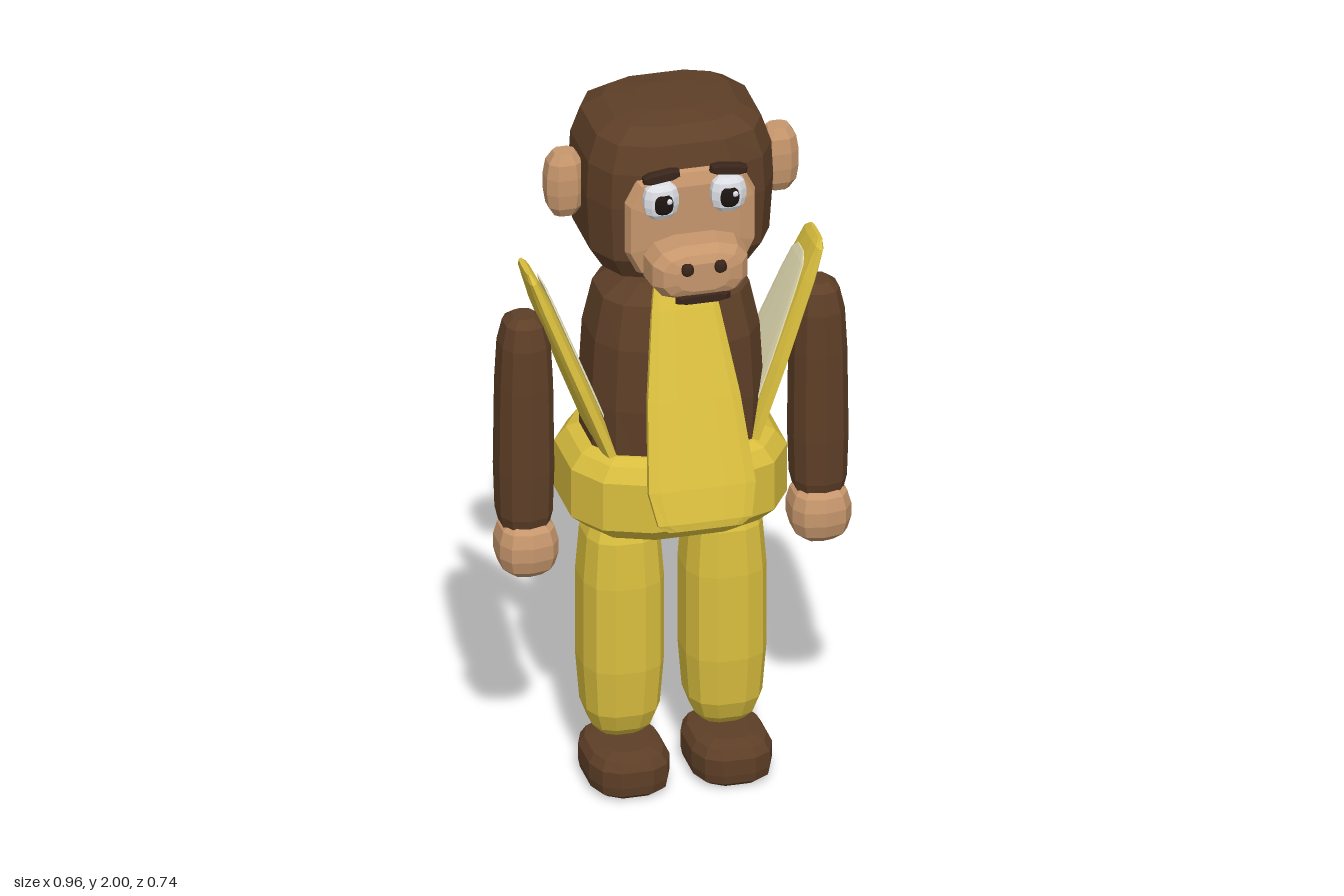
import * as THREE from 'three';

const mat = (name, color) => {
  const m = new THREE.MeshStandardMaterial({ color });
  m.name = name;
  return m;
};

// Faceted body from squarish rings [y, halfWidth, halfDepth], bottom to top
function loft(rings, power = 3, sides = 12) {
  const pos = [], idx = [];
  const soft = (v) => Math.sign(v) * Math.pow(Math.abs(v), 2 / power);
  for (const [y, w, d] of rings) {
    for (let j = 0; j < sides; j++) {
      const a = ((j + 0.5) / sides) * Math.PI * 2;
      const k = soft(Math.cos(Math.PI / sides));
      pos.push((soft(Math.cos(a)) * w) / k, y, (soft(Math.sin(a)) * d) / k);
    }
  }
  const last = (rings.length - 1) * sides;
  const bottom = pos.length / 3;
  pos.push(0, rings[0][0], 0, 0, rings[rings.length - 1][0], 0);
  for (let j = 0; j < sides; j++) {
    const n = (j + 1) % sides;
    for (let i = 0; i < last; i += sides) {
      idx.push(i + j, i + sides + j, i + sides + n, i + j, i + sides + n, i + n);
    }
    idx.push(bottom, j, n, bottom + 1, last + n, last + j);
  }
  const g = new THREE.BufferGeometry();
  g.setAttribute('position', new THREE.Float32BufferAttribute(pos, 3));
  g.setIndex(idx);
  const flat = g.toNonIndexed();
  flat.computeVertexNormals();
  return flat;
}

// Same, with the rings stacked from back to front: [z, halfWidth, halfHeight]
const loftForward = (rings, power, sides) => loft(rings, power, sides).rotateX(Math.PI / 2);

// Rounded pebble with the given half sizes
const pebble = (w, h, d, power = 2.6, sides = 8) =>
  loft([[-h, w * 0.55, d * 0.55], [-h * 0.7, w * 0.88, d * 0.88], [-h * 0.25, w, d],
    [h * 0.25, w, d], [h * 0.7, w * 0.88, d * 0.88], [h, w * 0.55, d * 0.55]], power, sides);

export function createModel() {
  const root = new THREE.Group();
  const brown = mat('brown fur', 0x5e3f27);
  const yellow = mat('banana yellow', 0xd9be3e);
  const skin = mat('tan skin', 0xc6966c);
  const cream = mat('peel cream', 0xe6dfb4);
  const dark = mat('dark brown', 0x38241a);
  const white = mat('eye white', 0xe4e6ec);
  const black = mat('pupil black', 0x1c1411);

  const add = (name, geometry, material, x = 0, y = 0, z = 0, parent = root) => {
    const m = new THREE.Mesh(geometry, material);
    m.name = name;
    m.position.set(x, y, z);
    parent.add(m);
    return m;
  };

  // Head and torso
  add('head', loft([[1.535, 0.12, 0.1], [1.555, 0.205, 0.175], [1.62, 0.245, 0.21], [1.78, 0.255, 0.22],
    [1.88, 0.25, 0.215], [1.955, 0.225, 0.195], [1.99, 0.17, 0.15], [2.0, 0.09, 0.08]], 3.2), brown);
  add('torso', loft([[0.9, 0.23, 0.17], [1.15, 0.235, 0.18], [1.33, 0.225, 0.175],
    [1.45, 0.2, 0.145], [1.5, 0.13, 0.11]], 2.8), brown);
  add('peelBelt', loft([[0.765, 0.16, 0.13], [0.785, 0.25, 0.2], [0.825, 0.295, 0.235],
    [0.965, 0.295, 0.235], [1.005, 0.265, 0.215], [1.02, 0.235, 0.185]], 2.7), yellow);

  // Face
  add('face', loftForward([[0.14, 0.165, 0.155], [0.2, 0.178, 0.166], [0.225, 0.168, 0.155],
    [0.238, 0.125, 0.12]], 3.2), skin, 0, 1.73, 0);
  add('muzzle', loftForward([[0.2, 0.125, 0.07], [0.24, 0.137, 0.08], [0.305, 0.13, 0.078],
    [0.335, 0.108, 0.062], [0.346, 0.07, 0.04]], 2.8), skin, 0, 1.632, 0);
  add('mouth', loftForward([[-0.012, 0.06, 0.01], [0, 0.075, 0.016], [0.012, 0.06, 0.01]], 3.5, 8),
    dark, 0, 1.566, 0.335);

  // Limbs, ears and paired facial features
  const leg = loft([[0.14, 0.06, 0.06], [0.165, 0.082, 0.085], [0.215, 0.1, 0.104], [0.35, 0.11, 0.117],
    [0.6, 0.11, 0.117], [0.73, 0.1, 0.107], [0.8, 0.075, 0.08]], 2.7);
  const foot = loft([[0, 0.085, 0.12], [0.015, 0.105, 0.139], [0.04, 0.11, 0.143],
    [0.085, 0.11, 0.143], [0.11, 0.095, 0.128], [0.122, 0.06, 0.09]], 2.9);
  const arm = loft([[0.77, 0.06, 0.065], [0.82, 0.071, 0.079], [0.95, 0.075, 0.084], [1.2, 0.072, 0.08],
    [1.32, 0.066, 0.074], [1.38, 0.053, 0.06], [1.4, 0.03, 0.034]], 2.6, 10);
  for (const s of [1, -1]) {
    const side = s > 0 ? 'left' : 'right';
    add(side + 'Leg', leg, yellow, s * 0.14);
    add(side + 'Foot', foot, brown, s * 0.14, 0.005, 0.045);
    add(side + 'Arm', arm, brown, s * 0.402);
    add(side + 'Hand', pebble(0.08, 0.08, 0.082, 2.8, 10), skin, s * 0.4, 0.725, 0.015);
    add(side + 'Ear', pebble(0.052, 0.092, 0.045), skin, s * 0.292, 1.782, 0);
    add(side + 'Eye', pebble(0.047, 0.05, 0.028, 2.2, 10), white, s * 0.092, 1.825, 0.247);
    add(side + 'Pupil', pebble(0.025, 0.027, 0.014, 2.2, 8), black, s * 0.09, 1.822, 0.27);
    add(side + 'EyeGlint', pebble(0.007, 0.007, 0.005, 2, 6), white, s * 0.09 + 0.013, 1.835, 0.283);
    add(side + 'Nostril', pebble(0.016, 0.016, 0.014, 2.2, 8), dark, s * 0.045, 1.66, 0.347);
    const brow = add(side + 'Brow', loftForward([[-0.015, 0.044, 0.01], [-0.007, 0.05, 0.016],
      [0.007, 0.05, 0.016], [0.015, 0.044, 0.01]], 3.5, 8), dark, s * 0.092, 1.897, 0.25);
    brow.rotation.z = -s * 0.13;
  }

  // Peel flaps: front and back hang outward, the side ones stand up and show the cream lining
  const flap = loft([[-0.35, 0.1, 0.01], [-0.33, 0.128, 0.018], [-0.24, 0.146, 0.025], [0, 0.126, 0.025],
    [0.24, 0.092, 0.022], [0.33, 0.075, 0.014], [0.35, 0.05, 0.007]], 2.8);
  const lining = loft([[-0.27, 0.1, 0.003], [-0.2, 0.115, 0.005], [0, 0.098, 0.005],
    [0.2, 0.07, 0.005], [0.27, 0.055, 0.004], [0.295, 0.03, 0.002]], 2.8);
  ['front', 'left', 'back', 'right'].forEach((name, i) => {
    const standing = i % 2 === 1;
    const pivot = new THREE.Group();
    pivot.name = name + 'PeelFlap';
    pivot.rotation.y = (i * Math.PI) / 2;
    const tilt = new THREE.Group();
    tilt.position.set(0, 1.215, standing ? 0.272 : 0.235);
    tilt.rotation.x = standing ? 0.37 : -0.37;
    pivot.add(tilt);
    root.add(pivot);
    add(name + 'Peel', flap, yellow, 0, 0, 0, tilt);
    if (standing) add(name + 'PeelLining', lining, cream, 0, 0, -0.024, tilt);
  });

  return root;
}
